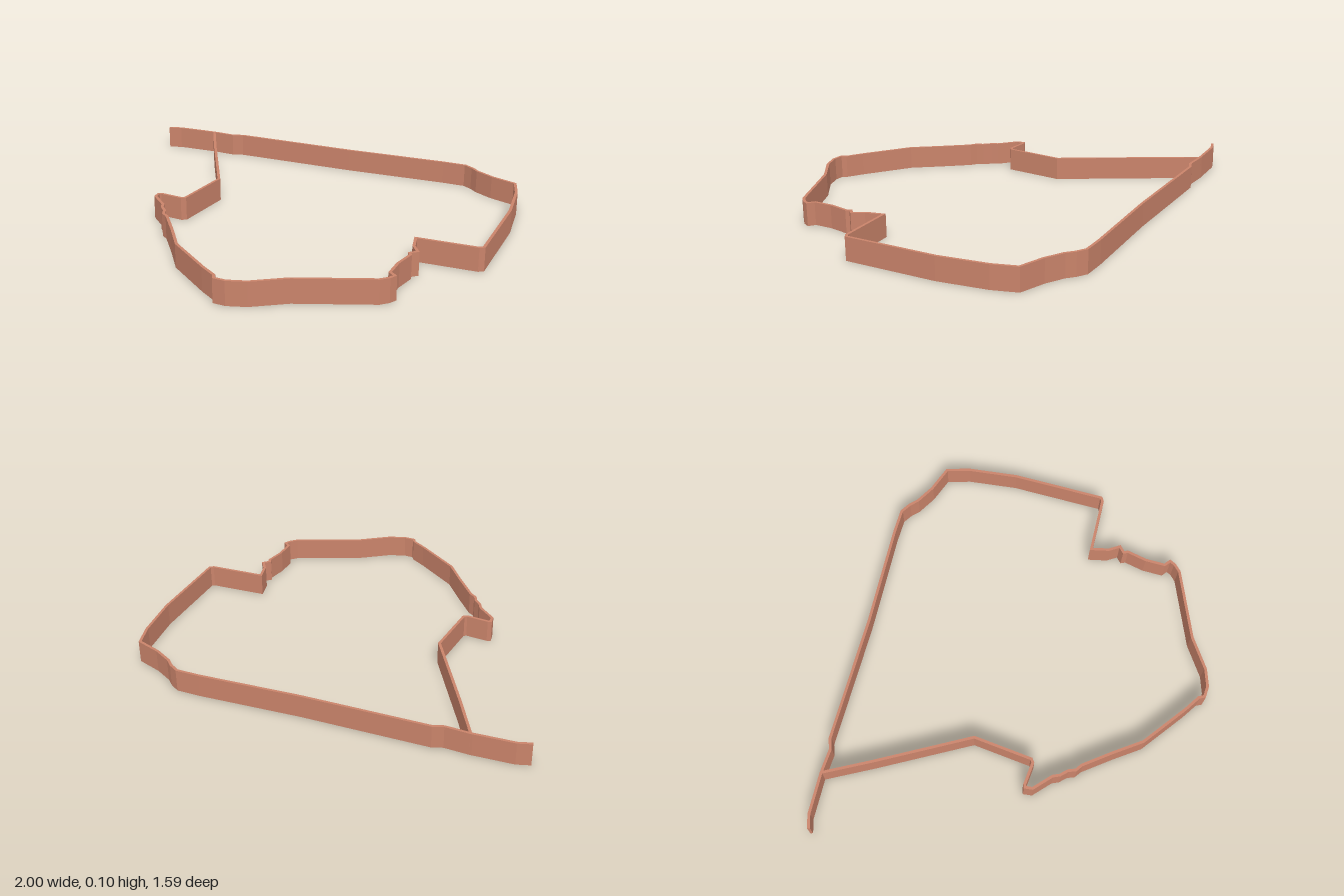
import * as THREE from 'three';

const HEIGHT = 0.1;
const HALF = 0.006; // half the wall thickness

// Wall centre lines as [x, z]
const TAIL = [[-0.997, 0.012], [-0.955, -0.032], [-0.8, -0.128]];
const LOOP = [
  [-0.8, -0.128], [-0.704, -0.176], [-0.672, -0.213], [-0.185, -0.493], [0.2, -0.734],
  [0.292, -0.785], [0.34, -0.783], [0.383, -0.772], [0.474, -0.772], [0.59, -0.792],
  [0.667, -0.716], [0.795, -0.541], [0.992, -0.188], [0.983, -0.171], [0.769, -0.04],
  [0.822, 0.018], [0.87, 0.043], [0.86, 0.075], [0.876, 0.086], [0.903, 0.171],
  [0.945, 0.247], [0.977, 0.252], [0.978, 0.279], [0.967, 0.316], [0.769, 0.568],
  [0.699, 0.707], [0.645, 0.766], [0.602, 0.787], [0.581, 0.773], [0.501, 0.768],
  [0.265, 0.738], [0.137, 0.68], [0.003, 0.624], [-0.03, 0.621], [-0.056, 0.6],
  [-0.094, 0.589], [-0.12, 0.57], [-0.217, 0.548], [-0.236, 0.522], [-0.228, 0.512],
  [-0.137, 0.471], [-0.129, 0.455], [-0.233, 0.217], [-0.613, -0.011],
];

// Shifts a polyline sideways by d, with mitred corners
function offset(line, d, closed) {
  const p = line.map(([x, z]) => new THREE.Vector2(x, z));
  const n = p.length;
  const normal = (a, b) => new THREE.Vector2(a.y - b.y, b.x - a.x).normalize();
  return p.map((q, i) => {
    const before = closed || i > 0 ? normal(p[(i + n - 1) % n], q) : null;
    const after = closed || i < n - 1 ? normal(q, p[(i + 1) % n]) : null;
    const n1 = before || after, n2 = after || before;
    const mitre = n1.clone().add(n2).normalize();
    return mitre.multiplyScalar(d / Math.max(0.5, mitre.dot(n1))).add(q);
  });
}

// Extrudes a ground plan upwards from y = 0
function raise(shape, name, material) {
  const geometry = new THREE.ExtrudeGeometry(shape, { depth: HEIGHT, bevelEnabled: false });
  geometry.rotateX(Math.PI / 2).translate(0, HEIGHT, 0);
  const mesh = new THREE.Mesh(geometry, material);
  mesh.name = name;
  return mesh;
}

export function createModel() {
  const group = new THREE.Group();
  group.name = 'boundaryWall';
  const material = new THREE.MeshStandardMaterial({ color: 0xc9836a });

  // Closed loop of wall
  const ring = new THREE.Shape(offset(LOOP, -HALF, true));
  ring.holes.push(new THREE.Path(offset(LOOP, HALF, true)));
  group.add(raise(ring, 'loopWall', material));

  // Short spur running off the corner
  const spur = [...offset(TAIL, HALF, false), ...offset(TAIL, -HALF, false).reverse()];
  group.add(raise(new THREE.Shape(spur), 'spurWall', material));

  return group;
}
